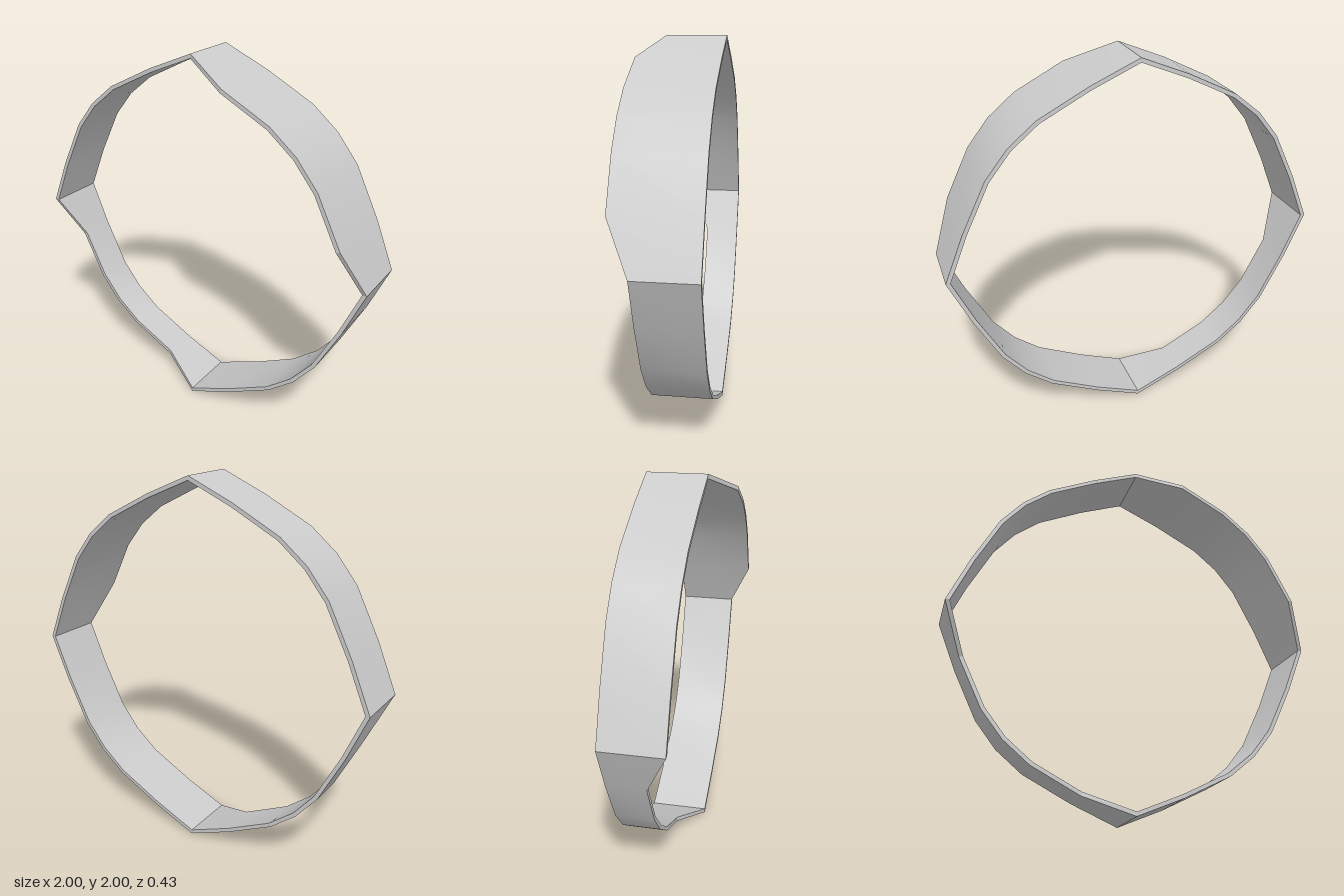
import * as THREE from 'three';
import { mergeGeometries } from 'three/addons/utils/BufferGeometryUtils.js';

// Outer edge of one quarter, from the top corner to the side corner
const PROFILE = [[0, 1], [0.25, 0.895], [0.508, 0.765], [0.65, 0.65], [0.765, 0.508], [0.895, 0.25], [1, 0]];
const INNER = 0.977;      // inner wall as a fraction of the outer one
const BACK = -0.213;      // flat back rim
const FRONT = 0.098;      // front rim at the four corners
const STEP = 0.115;       // how far a quarter's front rim rises or sinks

// Ribbon of quads between two rows of points, smooth or faceted
function ribbon(rowA, rowB, smooth) {
  const positions = [], index = [];
  rowA.forEach((a, i) => {
    positions.push(...a, ...rowB[i]);
    if (i > 0) {
      const n = 2 * (i - 1);
      index.push(n, n + 1, n + 2, n + 1, n + 3, n + 2);
    }
  });
  let g = new THREE.BufferGeometry();
  g.setAttribute('position', new THREE.Float32BufferAttribute(positions, 3));
  g.setIndex(index);
  g = smooth ? g : g.toNonIndexed();
  g.computeVertexNormals();
  return smooth ? g.toNonIndexed() : g;
}

// One quarter of the band; its front rim shifts by `offset` between the corners
function quarterBand(offset) {
  const last = PROFILE.length - 1;
  const row = (scale, front) => PROFILE.map(([x, y], i) => {
    const z = front ? FRONT + (i > 0 && i < last ? offset : 0) : BACK;
    return [x * scale, y * scale, z];
  });
  const outBack = row(1, false), outFront = row(1, true);
  const inBack = row(INNER, false), inFront = row(INNER, true);
  return mergeGeometries([
    ribbon(outBack, outFront, true),   // outer wall
    ribbon(inFront, inBack, true),     // inner wall
    ribbon(outFront, inFront, false),  // front rim
    ribbon(inBack, outBack, false),    // back rim
  ]);
}

export function createModel() {
  const group = new THREE.Group();
  group.name = 'ringBand';
  const material = new THREE.MeshStandardMaterial({ color: 0xcccccc });

  // Quarters run clockwise from the top: raised, level, sunken, level
  const quarters = [
    ['raisedUpperLeftQuarter', STEP],
    ['levelLowerLeftQuarter', 0],
    ['sunkenLowerRightQuarter', -STEP],
    ['levelUpperRightQuarter', 0],
  ];
  quarters.forEach(([name, offset], k) => {
    const mesh = new THREE.Mesh(quarterBand(offset), material);
    mesh.name = name;
    mesh.position.y = 1;
    mesh.rotation.z = -k * Math.PI / 2;
    group.add(mesh);
  });
  return group;
}
